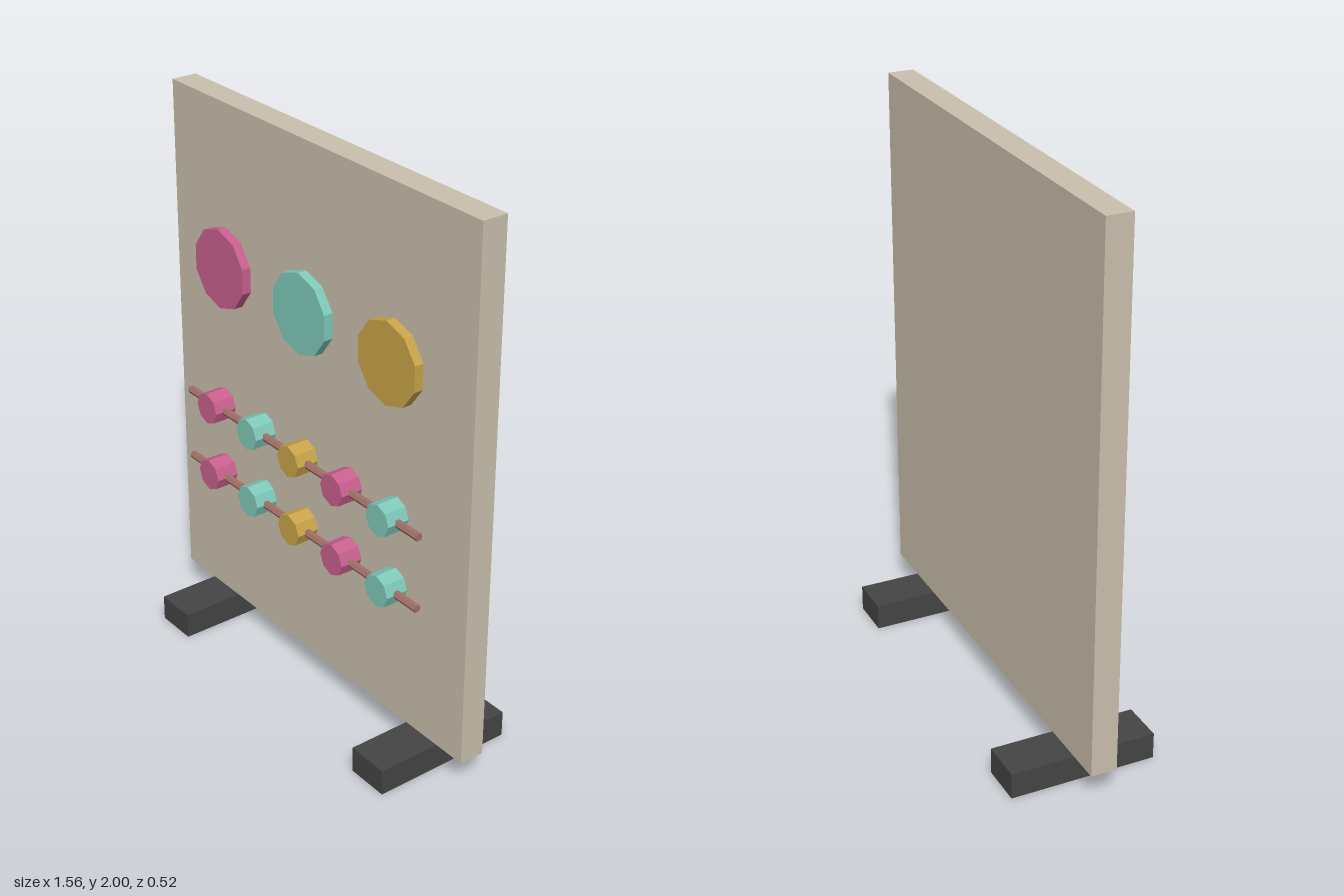
import * as THREE from 'three';

const mat = (name, color) => {
  const m = new THREE.MeshStandardMaterial({ color, flatShading: true });
  m.name = name;
  return m;
};

export function createModel() {
  const beige = mat('beige', 0xc9bfac);
  const charcoal = mat('charcoal', 0x444444);
  const brown = mat('brown', 0xa07068);
  const pink = mat('pink', 0xc8608e);
  const teal = mat('teal', 0x7ec8b8);
  const gold = mat('gold', 0xc8a448);

  const model = new THREE.Group();
  model.name = 'activityPanel';
  const add = (name, geometry, material, x, y, z) => {
    const mesh = new THREE.Mesh(geometry, material);
    mesh.name = name;
    mesh.position.set(x, y, z);
    model.add(mesh);
  };
  // cylinder facing the front
  const disc = (r, depth, sides) => new THREE.CylinderGeometry(r, r, depth, sides).rotateX(Math.PI / 2);

  // upright board on two feet
  add('board', new THREE.BoxGeometry(1.564, 1.89, 0.092), beige, 0, 1.055, 0);
  for (const side of [-1, 1]) {
    add(side < 0 ? 'rightFoot' : 'leftFoot', new THREE.BoxGeometry(0.156, 0.094, 0.522), charcoal, side * 0.566, 0.047, 0);
  }

  // row of large discs, floating just in front of the board
  [pink, teal, gold].forEach((m, i) => {
    add('disc', disc(0.143, 0.033, 10), m, (i - 1) * 0.443, 1.442, 0.093);
  });

  // two rods with five beads each
  for (const y of [0.92, 0.657]) {
    add('rod', new THREE.CylinderGeometry(0.0145, 0.0145, 1.255, 6).rotateZ(Math.PI / 2), brown, 0, y, 0.117);
    [pink, teal, gold, pink, teal].forEach((m, i) => {
      add('bead', disc(0.0575, 0.082, 8), m, (i - 2) * 0.235, y, 0.117);
    });
  }
  return model;
}
